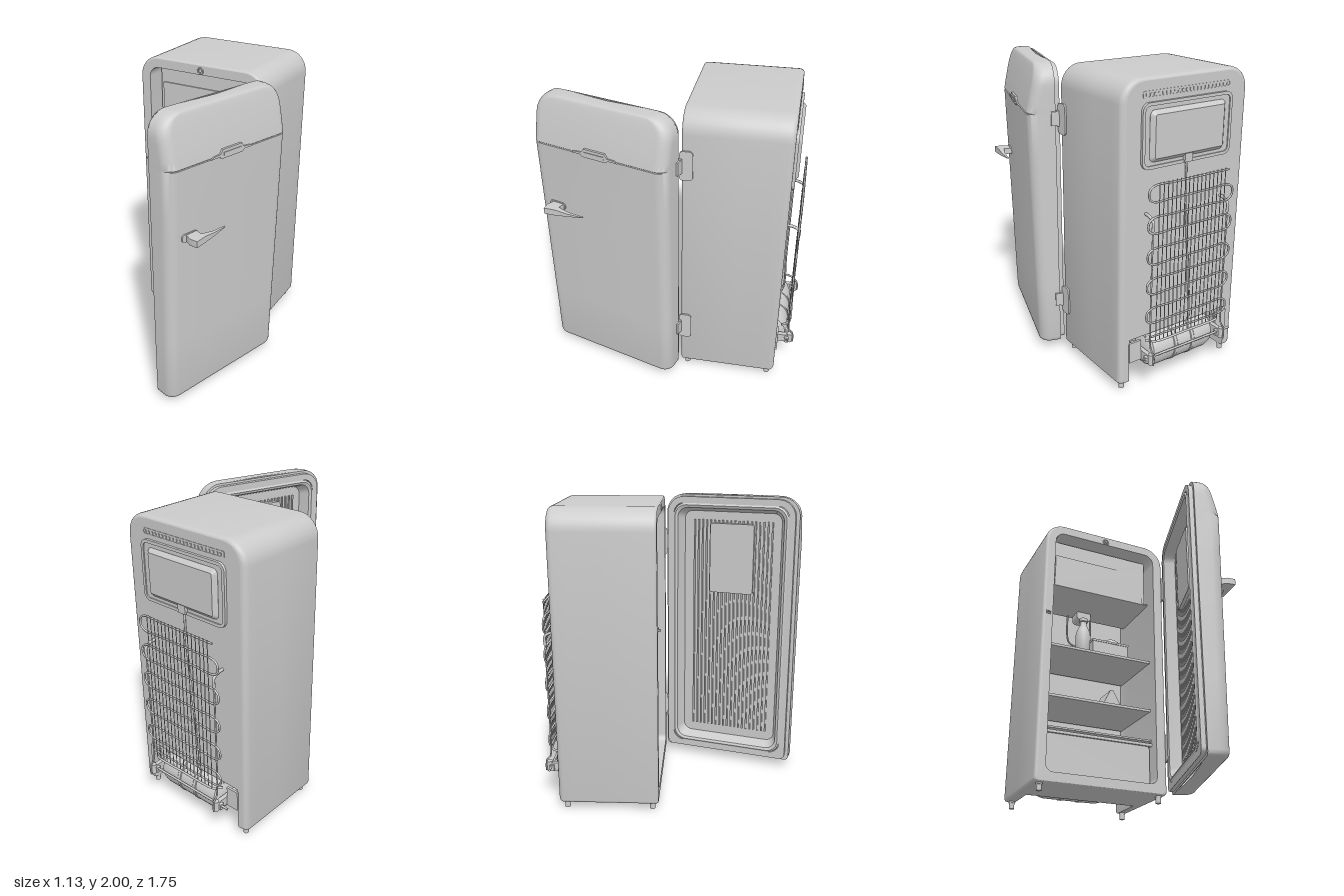
import * as THREE from 'three';
import { toCreasedNormals } from 'three/addons/utils/BufferGeometryUtils.js';

const mat = new THREE.MeshStandardMaterial({ color: 0xcccccc, side: THREE.DoubleSide });
const V = (x, y, z) => new THREE.Vector3(x, y, z);
const CX = -0.09; // middle of the cabinet

function add(parent, name, geo, x = 0, y = 0, z = 0) {
  const m = new THREE.Mesh(geo, mat);
  m.name = name;
  m.position.set(x, y, z);
  parent.add(m);
  return m;
}
// box given by its low and high corners
const box = (p, name, x0, x1, y0, y1, z0, z1) =>
  add(p, name, new THREE.BoxGeometry(x1 - x0, y1 - y0, z1 - z0), (x0 + x1) / 2, (y0 + y1) / 2, (z0 + z1) / 2);
const tube = (p, name, pts, r, n = 24) =>
  add(p, name, new THREE.TubeGeometry(new THREE.CatmullRomCurve3(pts, false, 'centripetal'), n, r, 6));
const shape = pts => new THREE.Shape(pts.map(q => new THREE.Vector2(...q)));
const at = (pts, z) => pts.map(q => V(q.x, q.y, z));

// counter-clockwise rounded rectangle, starting at the bottom right
function roundRect(x0, y0, x1, y1, rt, rb = rt, n = 8) {
  const pts = [];
  [[x1 - rb, y0 + rb, rb, -1], [x1 - rt, y1 - rt, rt, 0], [x0 + rt, y1 - rt, rt, 1], [x0 + rb, y0 + rb, rb, 2]]
    .forEach(([x, y, r, q]) => {
      for (let i = 0; i <= n; i++) {
        const a = (q + i / n) * Math.PI / 2;
        pts.push(new THREE.Vector2(x + r * Math.cos(a), y + r * Math.sin(a)));
      }
    });
  return pts;
}
// rounded plate, or a frame when a hole inset is given
function slab(p, name, x0, y0, x1, y1, r, z, depth, inset = 0, rb = r) {
  const s = new THREE.Shape(roundRect(x0, y0, x1, y1, r, rb));
  if (inset) s.holes.push(new THREE.Path(roundRect(x0 + inset, y0 + inset, x1 - inset, y1 - inset, Math.max(r - inset, 0.02))));
  return add(p, name, toCreasedNormals(new THREE.ExtrudeGeometry(s, { depth, bevelEnabled: false }), 0.6), 0, 0, z);
}
// skin over a stack of rings with equal point counts
function loft(rings, closed = true) {
  const n = rings[0].length, idx = [];
  for (let k = 0; k < rings.length - 1; k++)
    for (let i = 0; i < (closed ? n : n - 1); i++) {
      const j = (i + 1) % n, a = k * n, b = a + n;
      idx.push(a + i, a + j, b + j, a + i, b + j, b + i);
    }
  const g = new THREE.BufferGeometry().setFromPoints(rings.flat());
  g.setIndex(idx);
  return toCreasedNormals(g, 0.6);
}

function cabinet(g) {
  const back = -0.755, front = -0.088;
  // height of the scooped machine bay at depth z
  const bay = z => {
    const t = THREE.MathUtils.clamp((-0.45 - z) / 0.2, 0, 1);
    return 0.05 + 0.31 * (1 - Math.sqrt(1 - t * t));
  };
  const outline = (z, i) => {
    const b = 0.05 + i * 0.4, n = Math.max(b, bay(z));
    return [...roundRect(-0.565 + i, b, 0.385 - i, 2 - i * 0.5, 0.14 - i * 0.5, 0.025),
      ...[[-0.49, b], [-0.49, n], [0.31, n], [0.31, b]].map(q => new THREE.Vector2(...q))];
  };
  const hole = z => roundRect(-0.49, Math.max(0.12, bay(z) + 0.04), 0.31, 1.93, 0.07, 0.05);
  // depth and inset of each ring, with rounded edges at both ends
  const rings = [], bends = [0, 1, 2, 3, 4, 5].map(i => i * Math.PI / 10);
  for (const a of bends) rings.push([back + 0.035 * (1 - Math.cos(a)), 0.035 * (1 - Math.sin(a))]);
  for (let i = 0; i <= 10; i++) rings.push([-0.65 + i * 0.02, 0]);
  for (const a of bends) rings.push([front - 0.02 * (1 - Math.sin(a)), 0.02 * (1 - Math.cos(a))]);
  add(g, 'cabinetShell', loft(rings.map(([z, i]) => at(outline(z, i), z))));
  add(g, 'cabinetBack', new THREE.ShapeGeometry(new THREE.Shape(outline(back, 0.035))), 0, 0, back);
  const face = new THREE.Shape(outline(front, 0.02));
  face.holes.push(new THREE.Path(hole(front)));
  add(g, 'cabinetFrontFrame', new THREE.ShapeGeometry(face), 0, 0, front);
  const inner = [front];
  for (let i = 0; i <= 10; i++) inner.push(-0.45 - i * 0.02);
  inner.push(-0.68);
  add(g, 'innerLiner', loft(inner.map(z => at(hole(z), z))));
  add(g, 'innerBackWall', new THREE.ShapeGeometry(new THREE.Shape(hole(-0.68))), 0, 0, -0.68);
  for (const x of [-0.515, 0.335]) for (const z of [-0.13, -0.705]) {
    add(g, 'foot', new THREE.CylinderGeometry(0.018, 0.018, 0.06, 12), x, 0.03, z);
    add(g, 'footNut', new THREE.CylinderGeometry(0.022, 0.022, 0.012, 6), x, 0.045, z);
  }
  for (const y of [0.385, 1.66]) {
    const plate = slab(g, 'hingePlate', 0.075, y - 0.1, 0.16, y + 0.1, 0.025, 0, 0.012);
    plate.rotation.y = Math.PI / 2;
    plate.position.x = 0.384;
    add(g, 'hingeBarrel', new THREE.CylinderGeometry(0.013, 0.013, 0.1, 12), 0.398, y, -0.08);
  }
  const ring = add(g, 'catchRing', new THREE.TorusGeometry(0.02, 0.005, 6, 20), CX, 1.955, front);
  add(ring, 'catchPin', new THREE.SphereGeometry(0.01, 12, 8));
  box(g, 'latchStrike', -0.537, -0.503, 1.24, 1.265, -0.1, -0.08);
  tube(g, 'strikeHook', [V(-0.525, 1.25, -0.09), V(-0.53, 1.25, -0.07), V(-0.51, 1.25, -0.075)], 0.006, 8);
}

function interior(g) {
  // freezer box with a flap
  box(g, 'freezerBox', -0.47, 0.285, 1.55, 1.92, -0.62, -0.2);
  box(g, 'freezerFlap', -0.45, 0.265, 1.555, 1.8, -0.2, -0.19);
  box(g, 'freezerLip', -0.488, 0.308, 1.542, 1.552, -0.62, -0.185);
  slab(g, 'thermostat', -0.15, 1.475, -0.035, 1.56, 0.03, -0.6, 0.1);
  tube(g, 'coolantPipe', [V(0, 1.56, -0.6), V(0, 1.38, -0.6), V(-0.03, 1.31, -0.6), V(-0.1, 1.285, -0.6), V(-0.17, 1.31, -0.6), V(-0.19, 1.38, -0.6), V(-0.19, 1.56, -0.6)], 0.007, 40);
  for (const y of [1.055, 0.675]) {
    box(g, 'shelf', -0.488, 0.308, y - 0.006, y + 0.004, -0.66, -0.17);
    box(g, 'shelfRim', -0.488, 0.308, y - 0.009, y + 0.009, -0.18, -0.168);
  }
  box(g, 'drawerLid', -0.488, 0.308, 0.44, 0.452, -0.66, -0.16);
  box(g, 'drawerRail', -0.488, 0.308, 0.405, 0.425, -0.18, -0.155);
  slab(g, 'drawerFront', -0.475, 0.125, 0.295, 0.41, 0.03, -0.19, 0.02);
  const bottle = [[0, 0], [0.05, 0], [0.055, 0.01], [0.055, 0.17], [0.045, 0.215], [0.026, 0.255], [0.025, 0.28], [0.031, 0.285], [0.031, 0.31], [0, 0.31]];
  add(g, 'bottle', toCreasedNormals(new THREE.LatheGeometry(bottle.map(q => new THREE.Vector2(...q)), 24), 0.6), -0.175, 1.06, -0.3);
  box(g, 'foodBox', -0.085, 0.2, 1.06, 1.225, -0.55, -0.32);
  box(g, 'foodBoxLid', -0.09, 0.205, 1.225, 1.24, -0.555, -0.315);
  const loaf = add(g, 'loaf', new THREE.SphereGeometry(0.08, 10, 6, 0, Math.PI * 2, 0, Math.PI / 2), 0.11, 1.24, -0.43);
  loaf.scale.set(1, 0.9, 0.9);
  const wedge = shape([[-0.08, 0], [0.08, 0], [0.075, 0.04], [0.015, 0.148], [-0.005, 0.148]]);
  add(g, 'foodWedge', new THREE.ExtrudeGeometry(wedge, { depth: 0.18, bevelEnabled: false }), 0.045, 0.68, -0.45);
}

function rear(g) {
  // vent slots and evaporator cover
  slab(g, 'ventStrip', -0.42, 1.885, 0.24, 1.925, 0.01, -0.758, 0.01, 0.006);
  for (let i = 0; i < 22; i++) box(g, 'ventFin', -0.4 + i * 0.029, -0.388 + i * 0.029, 1.895, 1.912, -0.759, -0.75);
  slab(g, 'coverFrame', -0.43, 1.465, 0.25, 1.86, 0.05, -0.772, 0.02, 0.02);
  slab(g, 'coverPlate', -0.42, 1.475, 0.24, 1.85, 0.04, -0.765, 0.012);
  const tray = new THREE.Shape(roundRect(-0.35, 1.53, 0.17, 1.79, 0.01, 0.01, 3));
  add(g, 'coverTray', new THREE.ExtrudeGeometry(tray, { depth: 0.01, bevelThickness: 0.024, bevelSize: 0.025, bevelSegments: 1 }), 0, 0, -0.766);
  box(g, 'coverOutlet', -0.12, -0.06, 1.47, 1.54, -0.785, -0.755);
  // condenser: one snaking tube with upright wires
  const pts = [], rows = 11;
  for (let k = 0; k < rows; k++) {
    const y = 1.385 - k * 0.1, s = k % 2 ? -1 : 1;
    for (const t of [-1, -0.5, 0, 0.5, 1]) pts.push(V(CX + s * t * 0.29, y, -0.83));
    if (k < rows - 1) pts.push(V(CX + s * 0.325, y - 0.025, -0.83), V(CX + s * 0.325, y - 0.075, -0.83));
  }
  tube(g, 'condenserTube', pts, 0.007, 420);
  for (let i = 0; i < 17; i++)
    add(g, 'condenserWire', new THREE.CylinderGeometry(0.003, 0.003, 1.06, 5), CX - 0.256 + i * 0.032, 0.87, -0.836);
  tube(g, 'suctionPipe', [V(CX, 1.5, -0.762), V(CX, 1.42, -0.762), V(CX - 0.01, 1.2, -0.762), V(CX - 0.05, 0.7, -0.762), V(CX - 0.07, 0.38, -0.762), V(CX - 0.07, 0.3, -0.72)], 0.007);
  // compressor lying across the bay
  const half = [[0, 0.27], [0.09, 0.262], [0.122, 0.24], [0.134, 0.2], [0.134, 0.085], [0.138, 0.08], [0.138, 0.06], [0.134, 0.055]];
  const prof = [...half.map(([r, h]) => [r, -h]), ...half.slice().reverse()].map(q => new THREE.Vector2(...q));
  add(g, 'compressor', toCreasedNormals(new THREE.LatheGeometry(prof, 36), 0.6), CX, 0.23, -0.685).rotation.z = Math.PI / 2;
  for (const s of [-1, 1]) {
    const x = CX + s * 0.295;
    tube(g, 'condenserBracket', [V(x, 1.19, -0.75), V(x, 1.185, -0.79), V(x, 1.16, -0.83), V(x, 1.1, -0.83)], 0.01, 16);
    tube(g, 'condenserStay', [V(x, 1.14, -0.83), V(x, 0.37, -0.83), V(x, 0.31, -0.835), V(x, 0.27, -0.868), V(x, 0.2, -0.868)], 0.006);
    box(g, 'cradleArm', x - 0.015, x + 0.015, 0.2, 0.26, -0.855, -0.6);
    box(g, 'cradleTab', x - 0.035, x + 0.035, 0.21, 0.25, -0.84, -0.81);
    box(g, 'cradleMount', CX + s * 0.36 - 0.045, CX + s * 0.36 + 0.045, 0.2, 0.34, -0.765, -0.75);
    box(g, 'cradleClamp', CX + s * 0.24 - 0.02, CX + s * 0.24 + 0.02, 0.14, 0.33, -0.73, -0.66);
    add(g, 'cradleBolt', new THREE.CylinderGeometry(0.02, 0.02, 0.07, 10), x, 0.235, -0.845);
  }
  tube(g, 'cradleBar', [V(-0.47, 0.24, -0.83), V(0.25, 0.24, -0.83)], 0.008, 4);
  tube(g, 'cradleRail', [V(-0.385, 0.34, -0.78), V(-0.35, 0.345, -0.83), V(-0.32, 0.345, -0.838), V(CX, 0.345, -0.838),
    V(0.14, 0.345, -0.838), V(0.17, 0.345, -0.83), V(0.205, 0.34, -0.78)], 0.008, 30);
}

function door(g) {
  const d = new THREE.Group();
  d.name = 'door';
  d.position.set(0.385, 0, -0.085);
  d.rotation.y = THREE.MathUtils.degToRad(73);
  g.add(d);
  const W = 0.96;
  const round = (t, r) => (t >= r ? 0 : r - Math.sqrt(r * r - (r - t) ** 2));
  // bulged outer shell, thickest at the seam and sloping back above it
  const section = (y, groove = 0) => {
    const lo = round(y - 0.05, 0.03), i = Math.max(lo, round(2 - y, 0.13));
    const t = Math.max(0, (y - 1.69) / 0.31);
    const D = (y < 1.69 ? 0.172 + 0.033 * (y - 0.05) / 1.64 : 0.205 - 0.07 * t ** 1.15) - lo - round(2 - y, 0.015) - groove;
    const r = Math.min(0.07, D - 0.03), pts = [V(-W + i, y, 0.03)];
    for (const q of [0, 1]) for (let k = 0; k <= 8; k++) {
      const a = Math.PI * (1 - q * 0.5 - k / 16);
      pts.push(V((q ? -i - r : -W + i + r) + r * Math.cos(a), y, D - r + r * Math.sin(a)));
    }
    pts.push(V(-i, y, 0.03));
    return pts;
  };
  const ys = [0.05, 0.052, 0.057, 0.065, 0.085, 0.5, 1, 1.4, 1.686];
  const top = [1.694, 1.74, 1.79, 1.83, 1.87, 1.9, 1.93, 1.955, 1.975, 1.99, 1.997, 2];
  const rings = [...ys.map(y => section(y)), section(1.69, 0.004), ...top.map(y => section(y))];
  const cap = y => rings[0].map(() => V(-W / 2, y, 0.05));
  add(d, 'doorShell', loft([cap(0.05), ...rings, cap(2)], false));
  slab(d, 'doorFlange', -W, 0.05, 0, 2, 0.13, 0.03, 0.005, 0.07, 0.03);
  slab(d, 'doorGasket', -0.935, 0.065, -0.015, 1.985, 0.12, 0, 0.035, 0.045, 0.04);
  // dished inner liner with sloping walls
  const dish = i => roundRect(-0.89 + i, 0.11 + i, -0.06 - i, 1.94 - i, 0.09 - i / 2);
  add(d, 'doorLinerWall', loft([at(dish(0), 0), at(dish(0.012), -0.008), at(dish(0.03), 0), at(dish(0.06), 0.08)]));
  add(d, 'doorLinerFloor', new THREE.ShapeGeometry(new THREE.Shape(dish(0.06))), 0, 0, 0.08);
  for (let i = 0; i < 20; i++) box(d, 'linerRib', -0.77 + i * 0.03, -0.76 + i * 0.03, 0.24, 1.82, 0.068, 0.081);
  slab(d, 'linerPanel', -0.64, 1.3, -0.32, 1.8, 0.02, 0.045, 0.035);
  // lever handle, broad at the grip block and slender toward its tip
  slab(d, 'handleBase', -0.87, 1.225, -0.75, 1.275, 0.02, 0.17, 0.035);
  const lever = shape([[-0.83, 0.18], [-0.855, 0.25], [-0.845, 0.305], [-0.77, 0.29], [-0.684, 0.28], [-0.578, 0.258],
    [-0.575, 0.246], [-0.68, 0.258], [-0.765, 0.25], [-0.755, 0.18]]);
  const geo = new THREE.ExtrudeGeometry(lever, { depth: 1, bevelEnabled: false });
  geo.rotateX(Math.PI / 2);
  const p = geo.attributes.position;
  for (let i = 0; i < p.count; i++) {
    const u = -p.getX(i);
    const w = u > 0.74 ? 0.042 : Math.max(0.004, 0.022 * (u - 0.575) / 0.11);
    p.setY(i, 1.25 + (p.getY(i) + 0.5) * w);
  }
  add(d, 'handleLever', toCreasedNormals(geo, 0.6));
  // winged trim over the seam
  const wing = shape([[-0.165, -0.008], [-0.1, -0.008], [-0.085, -0.022], [0.085, -0.022], [0.1, -0.008], [0.165, -0.008],
    [0.15, 0.004], [0.095, 0.008], [0.075, 0.034], [-0.075, 0.034], [-0.095, 0.008], [-0.15, 0.004]]);
  add(d, 'seamTrim', new THREE.ExtrudeGeometry(wing, { depth: 0.025, bevelEnabled: false }), -0.485, 1.695, 0.188);
  box(d, 'seamTrimBar', -0.555, -0.415, 1.69, 1.71, 0.2, 0.217);
  for (const y of [0.385, 1.66]) box(d, 'hingeLeaf', -0.01, 0.012, y - 0.045, y + 0.045, 0.01, 0.06);
}

export function createModel() {
  const g = new THREE.Group();
  g.name = 'refrigerator';
  cabinet(g);
  interior(g);
  rear(g);
  door(g);
  return g;
}
